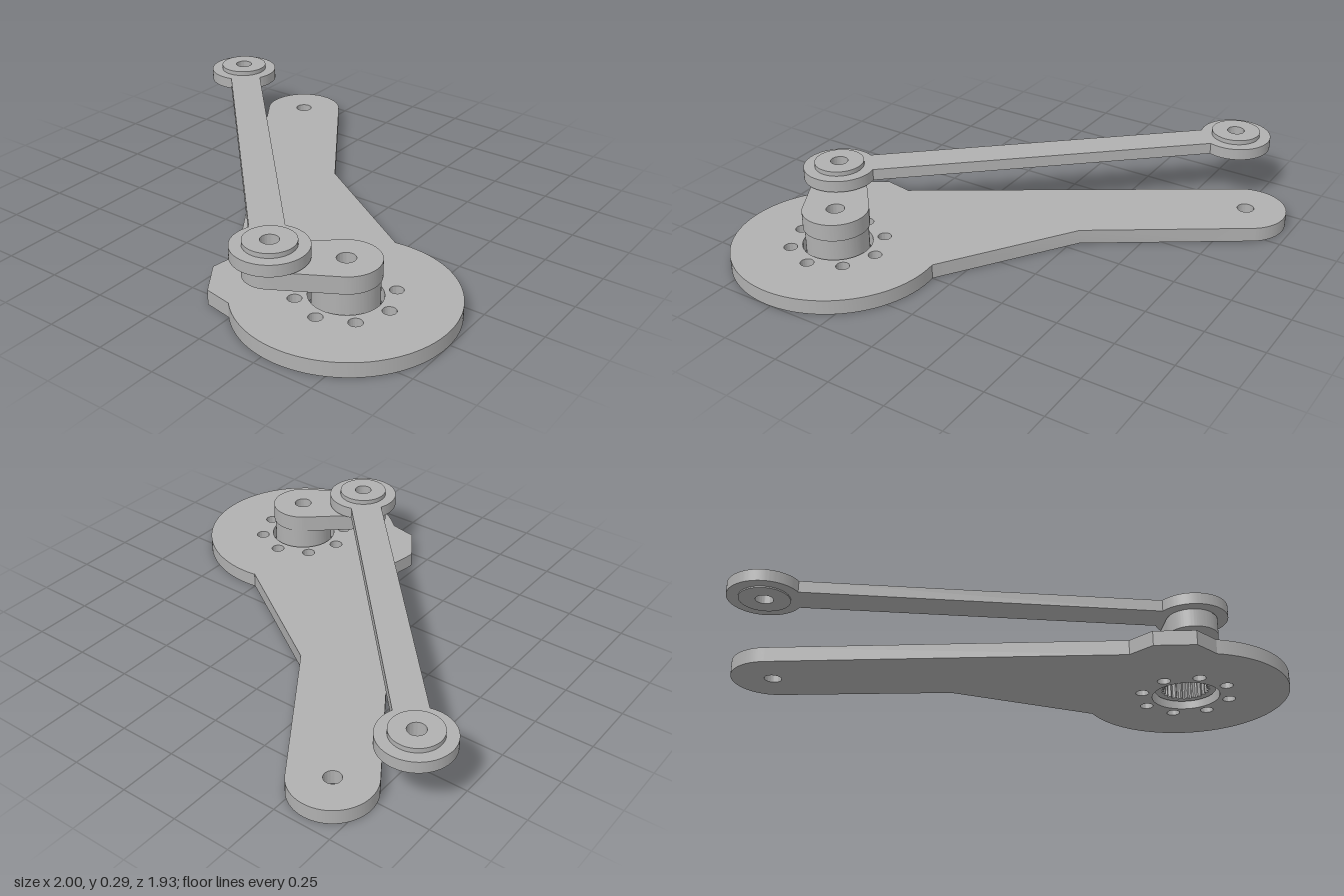
import * as THREE from 'three';
import { toCreasedNormals } from 'three/addons/utils/BufferGeometryUtils.js';

export function createModel() {
  const group = new THREE.Group();
  const steel = new THREE.MeshStandardMaterial({ color: 0xb0b0b0 });
  steel.name = 'grey steel';

  // Pivot centres in plan, as (x, z)
  const hub = new THREE.Vector2(0.56, 0.52);
  const tail = new THREE.Vector2(-0.607, -0.793);
  const crankPin = new THREE.Vector2(0.33, 0.683);
  const linkEnd = new THREE.Vector2(-0.847, -0.622);

  const hole = (c, r) => new THREE.Path().absarc(c.x, c.y, r, 0, Math.PI * 2, true);
  const disc = (c, r) => new THREE.Shape().absarc(c.x, c.y, r, 0, Math.PI * 2, false);

  // Extrude a plan shape between two heights
  function addPart(name, shape, bottom, top, holes = []) {
    shape.holes.push(...holes);
    let geo = new THREE.ExtrudeGeometry(shape, { depth: top - bottom, bevelEnabled: false, curveSegments: 64 });
    geo.rotateX(Math.PI / 2).translate(0, top, 0);
    geo = toCreasedNormals(geo, 0.4);
    const mesh = new THREE.Mesh(geo, steel);
    mesh.name = name;
    group.add(mesh);
  }

  // Base plate: big disc, tapered neck, rounded tail and a side lug
  const angle = (c, x, z) => Math.atan2(z - c.y, x - c.x);
  const plate = new THREE.Shape();
  plate.moveTo(-0.055, -0.28);
  plate.lineTo(0.5, 0.085);
  plate.absarc(hub.x, hub.y, 0.44, angle(hub, 0.5, 0.085), angle(hub, 0.245, 0.83), false);
  plate.lineTo(0.125, 0.805);
  plate.lineTo(0.03, 0.66);
  plate.lineTo(0.05, 0.54);
  plate.absarc(tail.x, tail.y, 0.174, angle(tail, -0.757, -0.695), angle(tail, -0.465, -0.893), false);
  plate.closePath();
  const plateHoles = [hole(tail, 0.036), hole(hub, 0.145)];
  for (let i = 0; i < 8; i++) {
    const a = (i * Math.PI) / 4;
    plateHoles.push(hole(new THREE.Vector2(hub.x + 0.194 * Math.cos(a), hub.y + 0.194 * Math.sin(a)), 0.028));
  }
  addPart('basePlate', plate, 0, 0.063, plateHoles);

  // Drive shaft with a toothed bore
  const spline = new THREE.Path();
  const teeth = 24;
  for (let i = 0; i < teeth * 4; i++) {
    const a = (-i / (teeth * 4)) * Math.PI * 2;
    const r = i % 4 < 2 ? 0.104 : 0.092;
    spline[i ? 'lineTo' : 'moveTo'](hub.x + r * Math.cos(a), hub.y + r * Math.sin(a));
  }
  spline.closePath();
  addPart('driveShaft', disc(hub, 0.131), 0.03, 0.146, [spline]);

  // Crank arm: tangent outline around two circles of different size
  const r1 = 0.137, r2 = 0.108;
  const dir = crankPin.clone().sub(hub);
  const heading = dir.angle();
  const spread = Math.acos((r1 - r2) / dir.length());
  const arm = new THREE.Shape();
  arm.absarc(hub.x, hub.y, r1, heading + spread, heading - spread + Math.PI * 2, false);
  arm.absarc(crankPin.x, crankPin.y, r2, heading - spread, heading + spread, false);
  arm.closePath();
  addPart('crankArm', arm, 0.146, 0.22, [hole(hub, 0.038)]);

  // Link bar, ending on the rims of the two eyes
  const eyeR = 0.153, half = 0.069;
  const along = crankPin.clone().sub(linkEnd).normalize();
  const side = new THREE.Vector2(-along.y, along.x).multiplyScalar(half);
  const reach = Math.sqrt(eyeR * eyeR - half * half) - 0.01;
  const a = linkEnd.clone().addScaledVector(along, reach);
  const b = crankPin.clone().addScaledVector(along, -reach);
  const bar = new THREE.Shape([
    a.clone().sub(side), b.clone().sub(side), b.clone().add(side), a.clone().add(side),
  ]);
  addPart('linkBar', bar, 0.225, 0.275);

  // Link eyes with raised bushings
  for (const [name, c] of [['rear', linkEnd], ['crank', crankPin]]) {
    addPart(name + 'LinkEye', disc(c, eyeR), 0.225, 0.275, [hole(c, 0.1)]);
    addPart(name + 'Bushing', disc(c, 0.105), 0.219, 0.295, [hole(c, 0.037)]);
  }
  return group;
}
